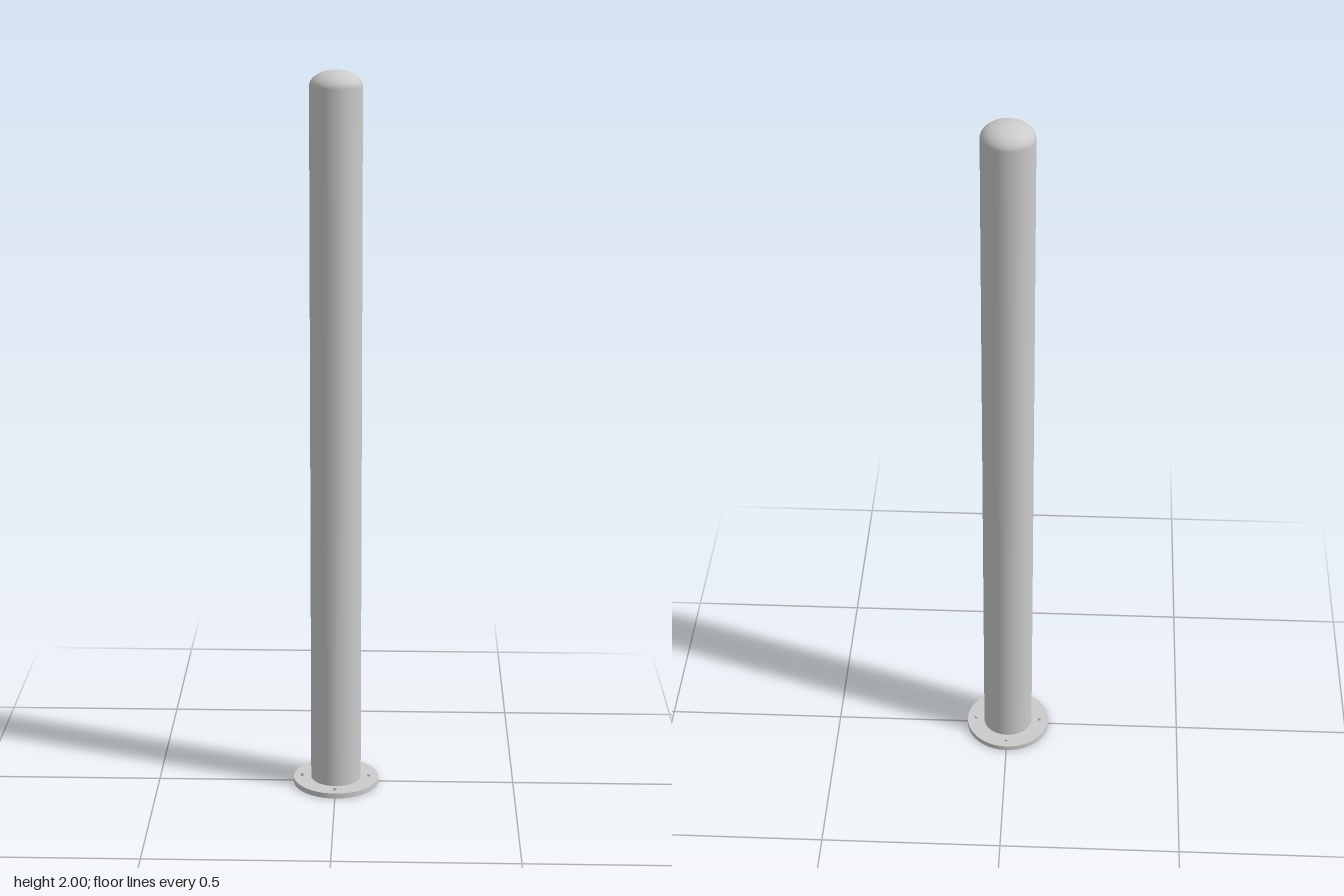
import * as THREE from 'three';

const RADIUS = 0.07, DOME = 0.042, PLATE_R = 0.119, PLATE_H = 0.015;

export function createModel() {
  const group = new THREE.Group();
  const material = new THREE.MeshStandardMaterial({ color: 0xcccccc });
  const add = (name, geometry, x, y, z) => {
    const mesh = new THREE.Mesh(geometry, material);
    mesh.name = name;
    mesh.position.set(x, y, z);
    group.add(mesh);
  };

  // Round base plate
  add('basePlate', new THREE.CylinderGeometry(PLATE_R, PLATE_R, PLATE_H, 64), 0, PLATE_H / 2, 0);

  // Post tube with a flattened dome on top
  const tubeTop = 2 - DOME;
  add('post', new THREE.CylinderGeometry(RADIUS, RADIUS, tubeTop - PLATE_H, 64, 1, true),
    0, (tubeTop + PLATE_H) / 2, 0);
  const dome = new THREE.SphereGeometry(RADIUS, 64, 20, 0, Math.PI * 2, 0, Math.PI / 2);
  dome.scale(1, DOME / RADIUS, 1);
  add('domeCap', dome, 0, tubeTop, 0);

  // Four anchor bolts around the plate
  const boltHeight = 0.008;
  for (let i = 0; i < 4; i++) {
    const a = i * Math.PI / 2;
    add('anchorBolt', new THREE.CylinderGeometry(0.005, 0.005, boltHeight, 16),
      0.094 * Math.cos(a), PLATE_H + boltHeight / 2 - 0.001, 0.094 * Math.sin(a));
  }
  return group;
}
